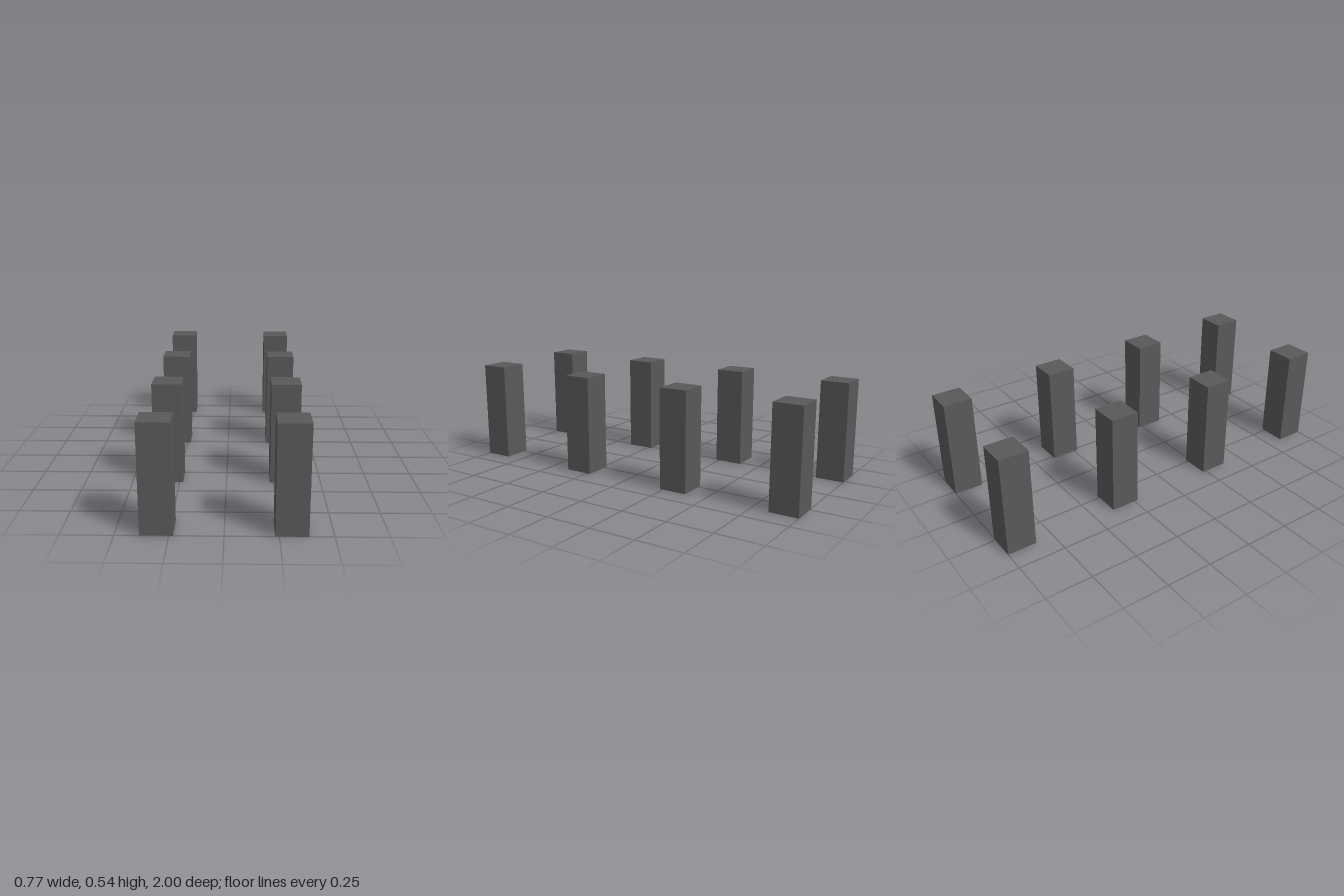
import * as THREE from 'three';

const UNIT = 1 / 13; // posts sit on a regular grid
const WIDTH = 2 * UNIT;
const HEIGHT = 7 * UNIT;

// Square post with a closed top and an open bottom
function openPost() {
  const geometry = new THREE.BoxGeometry(WIDTH, HEIGHT, WIDTH);
  const index = Array.from(geometry.index.array);
  index.splice(18, 6); // drop the underside
  geometry.setIndex(index);
  geometry.clearGroups();
  geometry.translate(0, HEIGHT / 2, 0);
  return geometry;
}

export function createModel() {
  const model = new THREE.Group();
  model.name = 'posts';

  const darkGrey = new THREE.MeshStandardMaterial({ color: 0x595959, side: THREE.DoubleSide });
  darkGrey.name = 'dark grey';
  const geometry = openPost();

  // Two rows of four posts
  for (const side of [1, -1]) {
    [12, 4, -4, -12].forEach((step, i) => {
      const post = new THREE.Mesh(geometry, darkGrey);
      post.name = `${side > 0 ? 'left' : 'right'}Post${i + 1}`;
      post.position.set(side * 4 * UNIT, 0, step * UNIT);
      model.add(post);
    });
  }
  return model;
}
